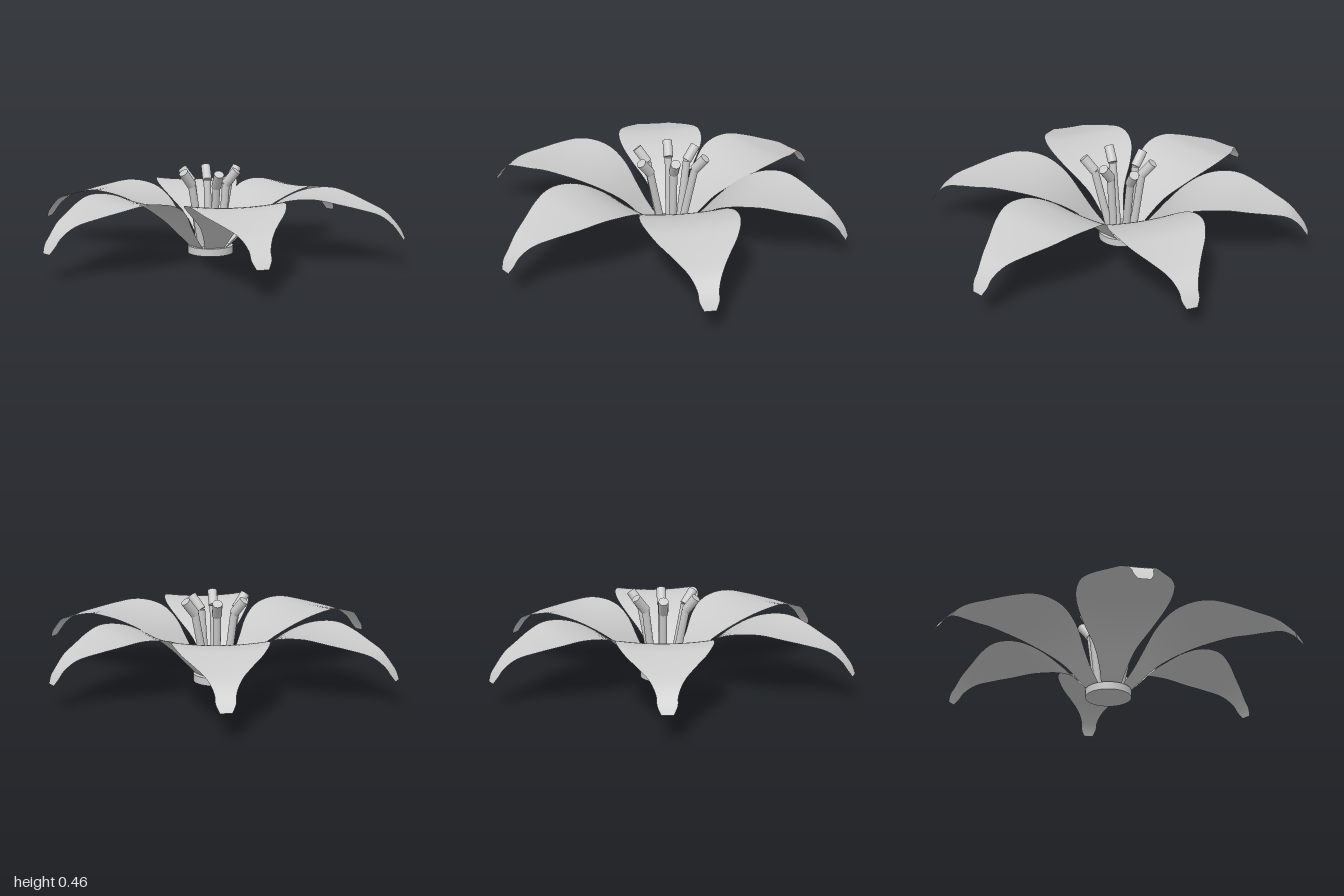
import * as THREE from 'three';

const material = new THREE.MeshStandardMaterial({ color: 0xcccccc });
const petalMaterial = new THREE.MeshStandardMaterial({ color: 0xcccccc, side: THREE.DoubleSide });

// Petal stations from root to tip: distance from the axis, height, half width
const STATIONS = [
  [0.09, 0.03, 0.05], [0.16, 0.102, 0.072], [0.23, 0.178, 0.108], [0.32, 0.253, 0.174],
  [0.42, 0.304, 0.222], [0.52, 0.328, 0.238], [0.62, 0.333, 0.226], [0.72, 0.314, 0.187],
  [0.82, 0.288, 0.128], [0.91, 0.258, 0.078], [0.97, 0.21, 0.05], [1.0, 0.172, 0.046],
  [1.022, 0.135, 0.028],
];

// Direction in degrees, petal reach, petal height factor, stamen reach
const WHORL = [
  [34.2, 1.015, 1, 0.16], [92.8, 1.025, 1, 0.215], [153.2, 1.02, 1, 0.205],
  [217.1, 0.98, 0.96, 0.18], [276.2, 0.965, 0.95, 0.18], [334.5, 0.935, 0.95, 0.205],
];

// Thin curved blade growing along +x, its edges lifted slightly
function petalGeometry(reach, height) {
  const rows = 48, cols = 10;
  const spine = new THREE.CatmullRomCurve3(STATIONS.map(([r, y]) => new THREE.Vector3(r, y, 0)));
  const width = new THREE.CatmullRomCurve3(STATIONS.map(([, , w], i) => new THREE.Vector3(i, w, 0)));
  const scale = reach / 1.022;
  const geometry = new THREE.PlaneGeometry(1, 1, cols, rows);
  const pos = geometry.attributes.position;
  for (let i = 0; i <= rows; i++) {
    const p = spine.getPoint(i / rows);
    const w = width.getPoint(i / rows).y;
    for (let j = 0; j <= cols; j++) {
      const s = (j / cols) * 2 - 1;
      const lift = 0.3 * w * w * (s * s - 0.3);
      pos.setXYZ(i * (cols + 1) + j, p.x * scale, p.y * height + lift, s * w * (0.5 + 0.5 * scale));
    }
  }
  geometry.computeVertexNormals();
  return geometry;
}

// Cylinder between two points
function rod(name, from, to, radius) {
  const dir = to.clone().sub(from);
  const mesh = new THREE.Mesh(new THREE.CylinderGeometry(radius, radius, dir.length(), 16), material);
  mesh.position.copy(from).addScaledVector(dir, 0.5);
  mesh.quaternion.setFromUnitVectors(new THREE.Vector3(0, 1, 0), dir.normalize());
  mesh.name = name;
  return mesh;
}

export function createModel() {
  const flower = new THREE.Group();
  flower.name = 'flower';

  // Round base
  const base = new THREE.Mesh(new THREE.CylinderGeometry(0.12, 0.12, 0.04, 40), material);
  base.name = 'base';
  base.position.y = 0.02;
  flower.add(base);

  WHORL.forEach(([degrees, petalReach, petalHeight, stamenReach], i) => {
    const turn = -THREE.MathUtils.degToRad(degrees);

    const petal = new THREE.Mesh(petalGeometry(petalReach, petalHeight), petalMaterial);
    petal.name = `petal${i + 1}`;
    petal.rotation.y = turn;
    flower.add(petal);

    // Leaning filament with a tilted anther
    const stamen = new THREE.Group();
    stamen.name = `stamen${i + 1}`;
    stamen.rotation.y = turn;
    const foot = new THREE.Vector3(0.06, 0.03, 0);
    const knee = new THREE.Vector3(stamenReach - 0.075, 0.37, 0);
    const tip = new THREE.Vector3(stamenReach - 0.018, 0.44, 0);
    stamen.add(rod('filament', foot, knee, 0.02), rod('anther', knee, tip, 0.025));
    flower.add(stamen);
  });

  flower.position.set(0.03, 0, -0.03);
  const model = new THREE.Group();
  model.add(flower);
  return model;
}
